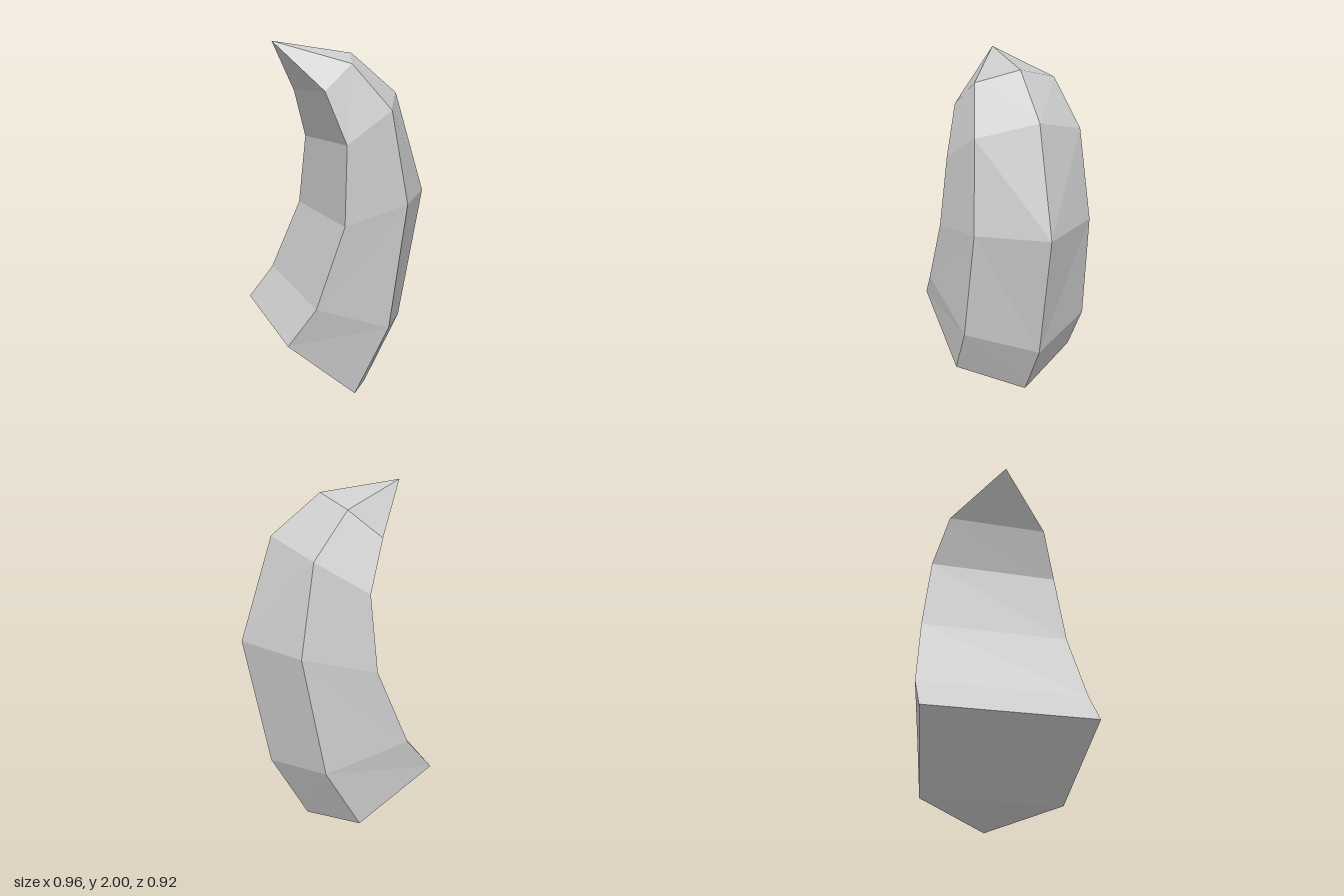
import * as THREE from 'three';

// Cross-sections from base to tip: inner corner [x, y, z], side edge [x, y, z], outer ridge [x, y]
const SECTIONS = [
  { inner: [-0.48, 0.47, 0.455], side: [-0.09, 0.12, 0.38], ridge: [0.115, 0] },
  { inner: [-0.33, 0.65, 0.46], side: [0.11, 0.47, 0.375], ridge: [0.335, 0.4] },
  { inner: [-0.16, 1.06, 0.42], side: [0.23, 1.14, 0.335], ridge: [0.48, 1.16] },
  { inner: [-0.13, 1.47, 0.37], side: [0.15, 1.64, 0.295], ridge: [0.3, 1.73] },
  { inner: [-0.22, 1.74, 0.288], side: [-0.05, 1.88, 0.225], ridge: [0.03, 1.945] },
];
const TIP = [-0.42, 2, 0];
const SIDES = 5;

const mirror = ([x, y, z]) => [x, y, -z];

function clawGeometry() {
  const points = [];
  const index = [];
  for (const { inner, side, ridge } of SECTIONS) {
    points.push(mirror(inner), inner, side, [...ridge, 0], mirror(side));
  }

  // Walls between sections, with diagonals mirrored about the ridge
  for (let k = 0; k < SECTIONS.length - 1; k++) {
    for (let j = 0; j < SIDES; j++) {
      const a = k * SIDES + j;
      const b = k * SIDES + ((j + 1) % SIDES);
      const c = b + SIDES;
      const d = a + SIDES;
      if (j % 2) index.push(a, b, c, a, c, d);
      else index.push(a, b, d, b, c, d);
    }
  }

  // Pointed end
  const tip = points.push(TIP) - 1;
  const last = (SECTIONS.length - 1) * SIDES;
  for (let j = 0; j < SIDES; j++) {
    index.push(last + j, last + ((j + 1) % SIDES), tip);
  }

  // Slanted base cap
  index.push(0, 2, 1, 0, 4, 2, 4, 3, 2);

  const geometry = new THREE.BufferGeometry();
  geometry.setAttribute('position', new THREE.Float32BufferAttribute(points.flat(), 3));
  geometry.setIndex(index);
  const faceted = geometry.toNonIndexed();
  faceted.computeVertexNormals();
  return faceted;
}

export function createModel() {
  const model = new THREE.Group();
  model.name = 'curvedClaw';
  const material = new THREE.MeshStandardMaterial({ color: 0xcccccc, flatShading: true });
  const claw = new THREE.Mesh(clawGeometry(), material);
  claw.name = 'claw';
  model.add(claw);
  return model;
}
